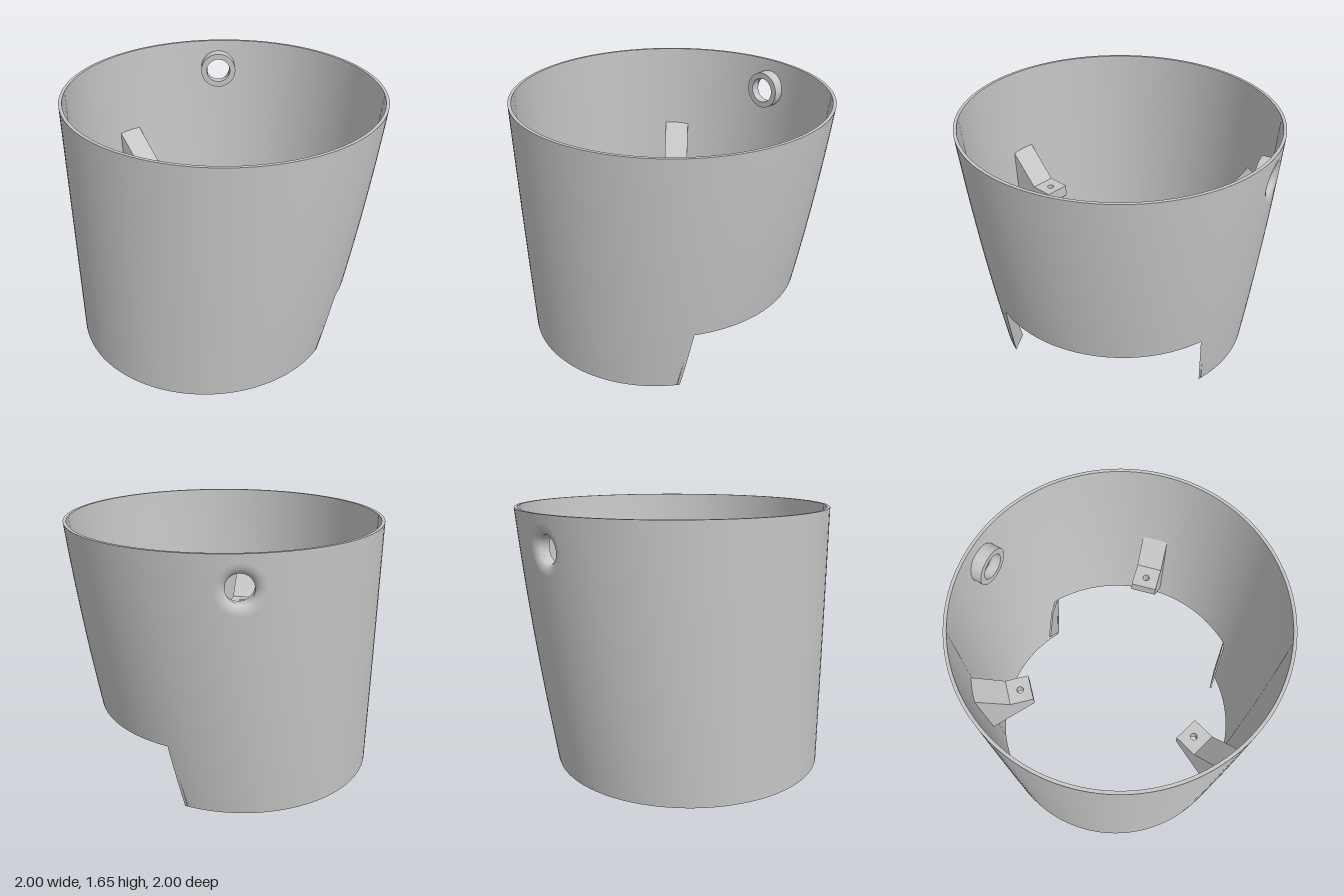
import * as THREE from 'three';
import { ParametricGeometry } from 'three/addons/geometries/ParametricGeometry.js';

const TAU = 2 * Math.PI;
const H = 1.655, T = 0.02;            // shell height and wall thickness
const CUT_Y = 0.435, CUT_Z = 0.645;   // notch in the +x side
const HOLE = { a: Math.atan2(-0.945, 0.235), y: 1.455, outer: 0.15, boss: 0.125, bore: 0.085, lip: 0.04, depth: 0.095 };
const BOX = 0.17;                     // half size of the wall patch around the hole
const mix = THREE.MathUtils.lerp;

// Radius grows with height; the -x side stays vertical
const radius = y => 0.875 + 0.1 * y - 0.0147 * y * y;
const centreX = y => radius(y) - 1;
const wallPoint = (a, y, off, target) => {
  const R = radius(y) - off;
  return target.set(centreX(y) + R * Math.cos(a), y, R * Math.sin(a));
};
const cutAngle = (y, off) => Math.asin(CUT_Z / (radius(y) - off));

// Angles around the shell, shared by all bands so that their corners meet:
// 0-16 hole patch, 16-24 up to the notch, 24-60 notch, 60-144 the rest
const patchSide = v => BOX * Math.tan(mix(-Math.PI / 4, Math.PI / 4, v));
const ringAngle = (k, off) => {
  const turn = Math.floor(k / 144), i = k - turn * 144;
  const e = cutAngle(CUT_Y, off), start = HOLE.a - BOX, end = HOLE.a + BOX;
  let a;
  if (i < 16) a = HOLE.a + patchSide(i / 16);
  else if (i < 24) a = mix(end, -e, (i - 16) / 8);
  else if (i < 60) a = mix(-e, e, (i - 24) / 36);
  else a = mix(e, start + TAU, (i - 60) / 84);
  return a + turn * TAU;
};

export function createModel() {
  const model = new THREE.Group();
  const grey = new THREE.MeshStandardMaterial({ color: 0xc6c6c6, side: THREE.DoubleSide });
  grey.name = 'grey';

  const add = (parent, name, geometry) => {
    const mesh = new THREE.Mesh(geometry, grey);
    mesh.name = name;
    parent.add(mesh);
  };

  // Outer and inner skin of a piece of wall; map(u, v, off) gives [angle, y]
  const shell = new THREE.Group();
  shell.name = 'shell';
  model.add(shell);
  const wall = (name, nu, nv, map) => {
    add(shell, name + 'Outside', new ParametricGeometry((u, v, t) => wallPoint(...map(1 - u, v, 0), 0, t), nu, nv));
    add(shell, name + 'Inside', new ParametricGeometry((u, v, t) => wallPoint(...map(u, v, T), T, t), nu, nv));
  };
  // Narrow face joining both skins along a path
  const edge = (name, n, path) =>
    add(shell, name, new ParametricGeometry((u, v, t) => wallPoint(...path(1 - u, v * T), v * T, t), n, 1));

  // Wall around the notch and the hole
  const lower = (u, v, off) => {
    const y = v * CUT_Y;
    const k = (Math.PI - cutAngle(y, off)) / (Math.PI - cutAngle(CUT_Y, off));
    return [Math.PI + (ringAngle(60 + 108 * u, off) - Math.PI) * k, y];
  };
  const yA = HOLE.y - BOX, yB = HOLE.y + BOX;
  wall('lowerWall', 108, 8, lower);
  wall('middleWall', 144, 14, (u, v, off) => [ringAngle(144 * u, off), mix(CUT_Y, yA, v)]);
  wall('upperWall', 128, 16, (u, v, off) => [ringAngle(16 + 128 * u, off), HOLE.y + patchSide(v)]);
  wall('topWall', 144, 1, (u, v, off) => [ringAngle(144 * u, off), mix(yB, H, v)]);
  wall('holeWall', 64, 4, (u, v, off) => {
    const g = -u * TAU, c = Math.cos(g), s = Math.sin(g);
    const k = mix(off ? HOLE.boss - 0.01 : HOLE.outer, BOX / Math.max(Math.abs(c), Math.abs(s)), v);
    return [HOLE.a + k * c, HOLE.y + k * s];
  });

  // Rims and notch edges
  edge('topRim', 144, (u, off) => [ringAngle(144 * u, off), H]);
  edge('bottomRim', 108, (u, off) => lower(u, 0, off));
  edge('notchTop', 36, (u, off) => [ringAngle(24 + 36 * u, off), CUT_Y]);
  for (const s of [-1, 1]) edge('notchSide', 8, (u, off) => [s * cutAngle(u * CUT_Y, off), u * CUT_Y]);

  // Cable hole: rounded lip outside, boss inside
  add(model, 'holeLip', new ParametricGeometry((u, v, t) => {
    const g = u * TAU, q = v * Math.PI / 2;
    const k = mix(HOLE.outer, HOLE.bore, Math.sin(q));
    wallPoint(HOLE.a + k * Math.cos(g), HOLE.y + k * Math.sin(g), HOLE.lip * (1 - Math.cos(q)), t);
  }, 64, 8));
  const boss = new THREE.Group();
  boss.name = 'holeBoss';
  wallPoint(HOLE.a, HOLE.y, 0, boss.position);
  boss.quaternion.setFromUnitVectors(new THREE.Vector3(0, 1, 0),
    new THREE.Vector3(Math.cos(HOLE.a), 0, Math.sin(HOLE.a)));
  model.add(boss);
  const ring = (name, ...pts) => add(boss, name,
    new THREE.LatheGeometry(pts.map(p => new THREE.Vector2(...p)), 64));
  ring('bossBore', [HOLE.bore, -0.036], [HOLE.bore, -HOLE.depth]);
  ring('bossFace', [HOLE.bore, -HOLE.depth], [HOLE.boss, -HOLE.depth]);
  ring('bossSide', [HOLE.boss, -HOLE.depth], [HOLE.boss, -0.015]);

  // Flat plates beside the notch, one bevelled at the top and one at the bottom
  const extrude = (points, depth, z) => new THREE.ExtrudeGeometry(
    new THREE.Shape(points.map(p => new THREE.Vector2(...p))), { depth, bevelEnabled: false }).translate(0, 0, z);
  add(model, 'notchPlateLeft',
    extrude([[0.32, 0.002], [0.455, 0.002], [0.55, CUT_Y - 0.005], [0.45, 0.39]], 0.013, CUT_Z + 0.001));
  add(model, 'notchPlateRight',
    extrude([[0.455, 0.002], [0.55, CUT_Y - 0.005], [0.43, CUT_Y - 0.005], [0.31, 0.23]], 0.013, -CUT_Z - 0.014));

  // Three screw brackets on the inner wall
  const W = 0.17, RIB = 0.03, R0 = 0.61, BEND = 0.765, Y0 = 0.79, Y1 = 0.87;
  for (let i = 0; i < 3; i++) {
    const a = i * TAU / 3;
    const reach = y => {
      const c = centreX(y), R = radius(y) - 0.012;
      return c * Math.cos(a) + Math.sqrt(R * R - (c * Math.sin(a)) ** 2);
    };
    const bracket = new THREE.Group();
    bracket.name = 'bracket';
    bracket.rotation.y = -a;
    model.add(bracket);

    // Flat tongue with a screw hole
    const tongue = new THREE.Shape([[R0, -W / 2], [BEND, -W / 2], [BEND, W / 2], [R0, W / 2]]
      .map(p => new THREE.Vector2(...p)));
    tongue.holes.push(new THREE.Path().absarc(0.682, 0, 0.022, 0, TAU, true));
    add(bracket, 'bracketTongue', new THREE.ExtrudeGeometry(tongue, { depth: Y1 - Y0, bevelEnabled: false })
      .rotateX(-Math.PI / 2).translate(0, Y0, 0));

    // Sloped block rising to the wall
    const yTop = i ? 1.09 : 1.04;
    add(bracket, 'bracketSlope', extrude(
      [[BEND, Y0], [reach(Y0), Y0], [reach(yTop), yTop], [BEND, Y1]], W, -W / 2));

    // Triangular ribs below
    for (const z of [-W / 2, W / 2 - RIB]) {
      add(bracket, 'bracketRib', extrude([[R0, Y0], [reach(0.48), 0.48], [reach(Y0), Y0]], RIB, z));
    }
  }
  return model;
}
